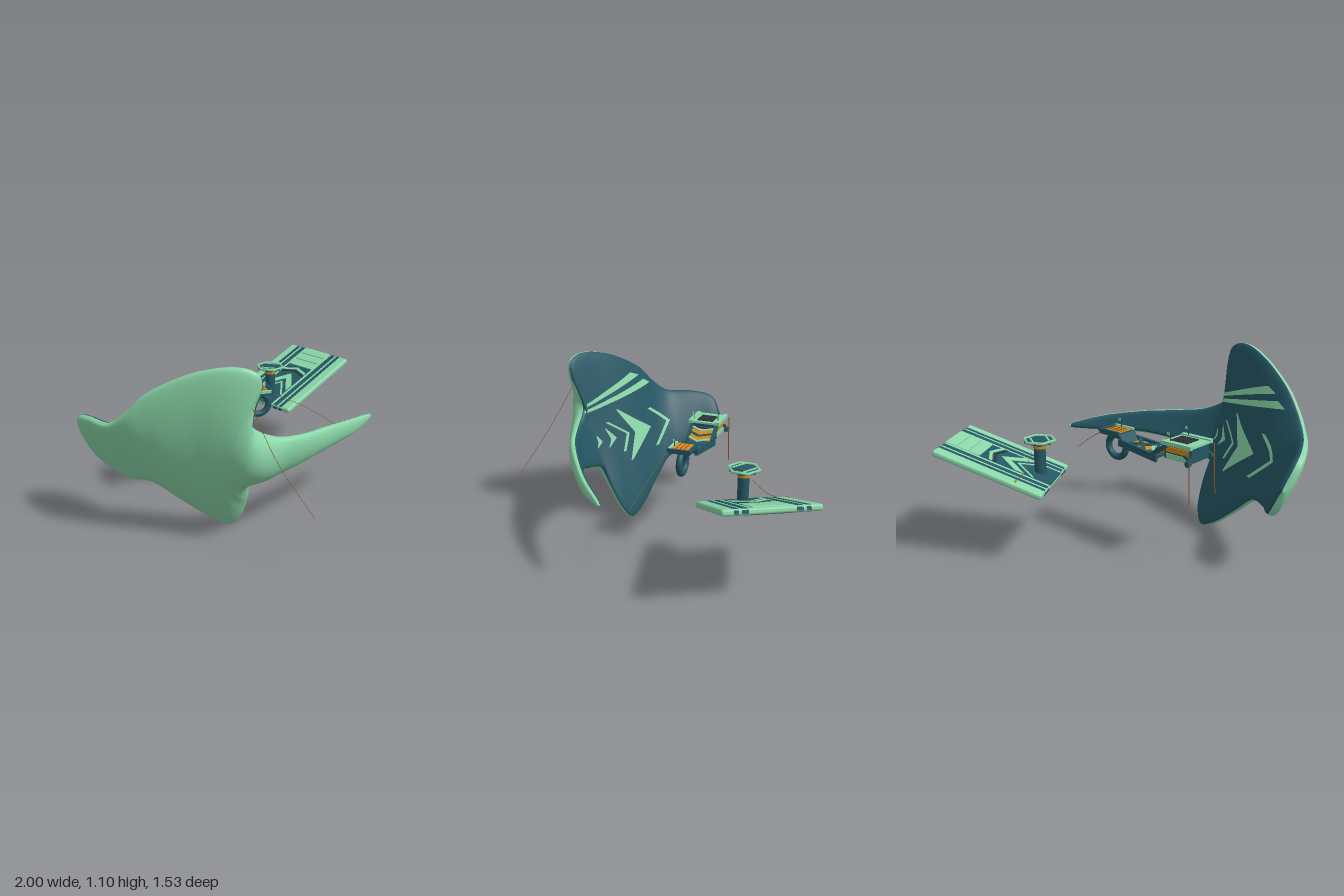
import * as THREE from 'three';
import { RoundedBoxGeometry } from 'three/addons/geometries/RoundedBoxGeometry.js';

const mat = (color) => new THREE.MeshStandardMaterial({ color, side: THREE.DoubleSide });
const dark = mat(0x245663), light = mat(0x8ad6a8), orange = mat(0xd98a1a);
const brown = mat(0x8a5a2a), black = mat(0x2c3338), purple = mat(0x4a3f7a);
const V = (p) => new THREE.Vector3(...p);
const { smoothstep } = THREE.MathUtils;

function add(parent, name, geo, material, pos = [0, 0, 0], rot = [0, 0, 0]) {
  const m = new THREE.Mesh(geo, material);
  m.name = name;
  m.position.set(...pos);
  m.rotation.set(...rot);
  parent.add(m);
  return m;
}
const box = (parent, name, size, pos, material, rot) =>
  add(parent, name, new THREE.BoxGeometry(...size), material, pos, rot);
const rod = (parent, name, pts, r, material) =>
  add(parent, name, new THREE.TubeGeometry(new THREE.CatmullRomCurve3(pts.map(V)), 24, r, 6), material);
// flat arrow stroke pointing along +x, lying on the xz plane
function chevron(parent, name, tip, back, half, thick, y, material) {
  const s = new THREE.Shape([[tip, 0], [back, half], [back - thick, half], [tip - thick, 0],
    [back - thick, -half], [back, -half]].map((p) => new THREE.Vector2(...p)));
  const g = new THREE.ExtrudeGeometry(s, { depth: 0.006, bevelEnabled: false });
  return add(parent, name, g, material, [0, y, 0], [-Math.PI / 2, 0, 0]);
}

// Four-lobed curved ray body: lofted between upper edge, ridge and lower edge
const upper = [[-0.88, 0.52, -0.69], [-0.957, 0.66, -0.635], [-0.985, 0.705, -0.49], [-0.985, 0.72, -0.3],
  [-0.95, 0.81, -0.18], [-0.88, 0.93, -0.07], [-0.75, 1.05, 0.13], [-0.63, 1.1, 0.31], [-0.54, 1.07, 0.41],
  [-0.515, 0.98, 0.415], [-0.52, 0.87, 0.375], [-0.515, 0.75, 0.345], [-0.38, 0.665, 0.39],
  [-0.2, 0.635, 0.42], [0.05, 0.615, 0.42], [0.3, 0.58, 0.395], [0.5, 0.535, 0.34], [0.522, 0.515, 0.33]];
const ridge = [[-0.88, 0.52, -0.69], [-0.885, 0.51, -0.64], [-0.89, 0.51, -0.5], [-0.875, 0.51, -0.34],
  [-0.83, 0.53, -0.22], [-0.75, 0.54, -0.115], [-0.645, 0.55, 0.02], [-0.585, 0.56, 0.125], [-0.545, 0.57, 0.195],
  [-0.522, 0.57, 0.244], [-0.495, 0.565, 0.295], [-0.445, 0.55, 0.335], [-0.35, 0.54, 0.375],
  [-0.2, 0.535, 0.41], [0.05, 0.535, 0.415], [0.3, 0.525, 0.39], [0.5, 0.517, 0.34], [0.522, 0.515, 0.33]];
const lower = [[-0.88, 0.52, -0.69], [-0.83, 0.38, -0.64], [-0.81, 0.325, -0.52], [-0.79, 0.305, -0.38],
  [-0.72, 0.3, -0.27], [-0.62, 0.19, -0.17], [-0.49, 0.06, -0.06], [-0.4, 0.005, 0.03], [-0.37, 0.08, 0.1],
  [-0.39, 0.22, 0.17], [-0.43, 0.35, 0.23], [-0.38, 0.385, 0.28], [-0.3, 0.41, 0.33],
  [-0.2, 0.44, 0.37], [0.05, 0.48, 0.39], [0.3, 0.485, 0.375], [0.5, 0.5, 0.335], [0.522, 0.515, 0.33]];

function createRay() {
  const g = new THREE.Group();
  g.name = 'rayBody';
  const [U, M, L] = [upper, ridge, lower].map((a) => new THREE.CatmullRomCurve3(a.map(V), false, 'catmullrom', 0.5));
  const section = (t, v) => U.getPoint(t).multiplyScalar(v * (v + 1) / 2)
    .addScaledVector(M.getPoint(t), 1 - v * v).addScaledVector(L.getPoint(t), v * (v - 1) / 2);
  const N = 160, K = 64, pos = [], top = [], belly = [];
  for (let i = 0; i <= N; i++) {
    const t = i / N, tc = Math.min(0.985, Math.max(0.015, t)), f = t * (upper.length - 1);
    const along = M.getTangent(tc);
    const h = 0.045 * Math.sqrt(Math.min(1, U.getPoint(t).distanceTo(L.getPoint(t)) / 0.35));
    // the belly swells out in the body between the lobes
    const swell = 0.08 * smoothstep(f, 3, 6) * (1 - smoothstep(f, 10, 13));
    for (let j = 0; j < K; j++) {
      const a = j / K * Math.PI * 2, v = Math.cos(a), s = Math.sin(a);
      const n = section(tc, v + 0.01).sub(section(tc, v - 0.01)).cross(along).normalize();
      const off = Math.sign(s) * h * Math.abs(s) ** 0.6 - (s < 0 ? swell * s * s : 0);
      const p = section(t, v).addScaledVector(n, off);
      pos.push(p.x, p.y, p.z);
      if (i === N) continue;
      const A = i * K + j, B = i * K + (j + 1) % K;
      (j >= 1 && j < K / 2 - 1 ? top : belly).push(A, A + K, B, B, A + K, B + K);
    }
  }
  const geo = new THREE.BufferGeometry();
  geo.setAttribute('position', new THREE.Float32BufferAttribute(pos, 3));
  geo.setIndex(top.concat(belly));
  geo.computeVertexNormals();
  const part = (name, index, m) => {
    const c = geo.clone();
    c.setIndex(index);
    return add(g, name, c, m);
  };
  part('belly', belly, light);
  const back = part('back', top, dark);

  // pale markings laid on the back: quads in (z, y), dropped onto the surface along x
  const ray = new THREE.Raycaster();
  const mark = (a, b, c, d) => {
    const nu = 14, nv = 3, p = [], idx = [];
    for (let i = 0; i <= nu; i++) for (let j = 0; j <= nv; j++) {
      const u = i / nu, w = j / nv;
      const f = (k) => (a[k] * (1 - w) + b[k] * w) * (1 - u) + (d[k] * (1 - w) + c[k] * w) * u;
      ray.set(new THREE.Vector3(2, f(1), f(0)), new THREE.Vector3(-1, 0, 0));
      const hit = ray.intersectObject(back)[0];
      p.push(hit ? hit.point.x + 0.007 : NaN, f(1), f(0));
    }
    const ok = (k) => !Number.isNaN(p[k * 3]);
    for (let i = 0; i < nu; i++) for (let j = 0; j < nv; j++) {
      const q = i * (nv + 1) + j, r = q + nv + 1;
      for (const tri of [[q, r, q + 1], [q + 1, r, r + 1]]) if (tri.every(ok)) idx.push(...tri);
    }
    const m = new THREE.BufferGeometry();
    m.setAttribute('position', new THREE.Float32BufferAttribute(p.map((x) => x || 0), 3));
    m.setIndex(idx);
    m.computeVertexNormals();
    add(g, 'backMarking', m, light);
  };
  mark([0.31, 0.785], [0.31, 0.765], [-0.075, 0.885], [-0.01, 0.915]);
  mark([0.325, 0.745], [0.33, 0.725], [-0.16, 0.815], [-0.11, 0.85]);
  // arrows: upper end, tip, lower end, stroke width at the tip and at the ends
  for (const [e, tip, f, w, we] of [
    [[0.1, 0.71], [-0.145, 0.54], [0.005, 0.37], 0.125, 0.012],
    [[0.17, 0.645], [0.02, 0.545], [0.05, 0.435], 0.022, 0.02],
    [[0.19, 0.61], [0.115, 0.535], [0.165, 0.485], 0.04, 0.006],
    [[0.25, 0.57], [0.215, 0.53], [0.245, 0.495], 0.03, 0.006],
    [[-0.15, 0.66], [-0.3, 0.545], [-0.2, 0.41], 0.03, 0.025]]) {
    for (const end of [e, f]) mark(end, [end[0] + we, end[1]], [tip[0] + w, tip[1]], tip);
  }
  // leading line and its fastenings
  rod(g, 'trailingLine', [[-0.565, 0.9, 0.39], [-0.54, 0.62, 0.555], [-0.47, 0.34, 0.76]], 0.0016, brown);
  for (const p of [[-0.565, 0.905, 0.39], [-0.575, 0.8, 0.35]])
    add(g, 'fastening', new THREE.SphereGeometry(0.011, 10, 8), orange, p);
  return g;
}

// Stepped carriage: tall rear box, low truss, small front deck with a ring below
function createCarriage() {
  const g = new THREE.Group();
  g.name = 'carriage';
  g.position.set(-0.15, 0, -0.35);
  g.rotation.y = -0.52;
  box(g, 'rearBox', [0.18, 0.085, 0.16], [-0.24, 0.642, 0], dark);
  box(g, 'rearLid', [0.2, 0.012, 0.15], [-0.24, 0.69, 0], light);
  for (const z of [-0.036, 0, 0.036]) box(g, 'roofSlat', [0.115, 0.008, 0.031], [-0.225, 0.697, z], black);
  for (const s of [-1, 1]) {
    box(g, 'rearRail', [0.2, 0.022, 0.026], [-0.24, 0.692, s * 0.09], light);
    box(g, 'sidePanel', [0.15, 0.03, 0.008], [-0.24, 0.655, s * 0.082], orange);
    box(g, 'sideSkirt', [0.15, 0.03, 0.008], [-0.24, 0.615, s * 0.082], light);
    box(g, 'sideBeam', [0.3, 0.04, 0.018], [0.05, 0.6, s * 0.074], dark, [0, s * 0.08, 0.1]);
    box(g, 'slopeBeam', [0.13, 0.025, 0.02], [-0.115, 0.64, s * 0.08], dark, [0, 0, -0.6]);
    box(g, 'crossBrace', [0.17, 0.014, 0.022], [0.08, 0.612, 0], dark, [0, s * 0.75, 0.1]);
    // rear pods with hanging poles and flag masts
    add(g, 'pod', new THREE.CylinderGeometry(0.017, 0.017, 0.022, 12), dark, [-0.325, 0.605, s * 0.1], [Math.PI / 2, 0, 0]);
    box(g, 'podArm', [0.05, 0.016, 0.016], [-0.315, 0.63, s * 0.09], dark, [0, 0, 0.5]);
    rod(g, 'hangingPole', [[-0.34, 0.68, s * 0.113], [-0.345, 0.5, s * 0.115], [-0.35, 0.385, s * 0.118]], 0.0035, brown);
    rod(g, 'mast', [[-0.19, 0.69, s * 0.08], [-0.19, 0.72, s * 0.08], [-0.19, 0.75, s * 0.08]], 0.003, dark);
    box(g, 'flag', [0.025, 0.016, 0.003], [-0.178, 0.74, s * 0.08], light);
  }
  box(g, 'slopePanel', [0.12, 0.012, 0.14], [-0.115, 0.63, 0], orange, [0, 0, -0.6]);
  box(g, 'seat', [0.035, 0.06, 0.1], [-0.155, 0.635, 0], purple);
  for (let i = 0; i < 3; i++)
    chevron(g, 'slopeChevron', 0.01 - i * 0.04, -0.05 - i * 0.04, 0.07, 0.024, 0.612 + i * 0.022, i === 1 ? dark : light);
  box(g, 'trussFloor', [0.25, 0.015, 0.14], [0.05, 0.592, 0], dark, [0, 0, 0.1]);
  box(g, 'trussPanel', [0.13, 0.006, 0.12], [0.08, 0.604, 0], orange, [0, 0, 0.1]);
  box(g, 'riser', [0.06, 0.02, 0.13], [0.185, 0.63, 0], dark, [0, 0, 0.9]);
  box(g, 'frontDeck', [0.15, 0.018, 0.14], [0.27, 0.652, 0], dark);
  box(g, 'frontPanel', [0.11, 0.008, 0.1], [0.265, 0.664, 0], orange);
  for (const z of [-0.025, 0, 0.025]) box(g, 'deckGroove', [0.1, 0.004, 0.005], [0.265, 0.669, z], brown);
  for (const s of [-1, 1]) box(g, 'deckRail', [0.14, 0.016, 0.016], [0.27, 0.665, s * 0.064], s > 0 ? light : dark);
  box(g, 'bow', [0.014, 0.016, 0.15], [0.342, 0.664, 0], dark);
  add(g, 'ring', new THREE.TorusGeometry(0.066, 0.02, 12, 36), dark, [0.27, 0.565, 0]);
  rod(g, 'frontMast', [[0.28, 0.66, 0.05], [0.28, 0.69, 0.05], [0.28, 0.72, 0.05]], 0.003, dark);
  box(g, 'frontFlag', [0.025, 0.016, 0.003], [0.292, 0.71, 0.05], light);
  return g;
}

// Tilted raft with wrapped stripes and an upright turret
function createRaft() {
  const g = new THREE.Group();
  g.name = 'raft';
  const slab = new THREE.Group();
  slab.name = 'slab';
  slab.position.set(0.687, 0.528, -0.5);
  slab.rotation.z = 0.346;
  g.add(slab);
  add(slab, 'board', new RoundedBoxGeometry(0.648, 0.036, 0.53, 3, 0.014), light);
  for (const s of [-1, 1]) {
    box(slab, 'wideStripe', [0.632, 0.0372, 0.034], [0, 0, s * 0.142], dark);
    box(slab, 'narrowStripe', [0.632, 0.0372, 0.025], [0, 0, s * 0.188], dark);
    for (const e of [-1, 1]) for (const [w, z] of [[0.034, 0.142], [0.025, 0.188]])
      box(slab, 'stripeEnd', [0.004, 0.02, w], [e * 0.323, 0, s * z], dark);
  }
  box(slab, 'underPanel', [0.63, 0.01, 0.225], [0, -0.0145, 0], mat(0x1f4650));
  box(slab, 'topPanel', [0.44, 0.008, 0.21], [-0.1, 0.0155, 0], dark);
  for (let i = 0; i < 3; i++)
    add(slab, 'slat', new RoundedBoxGeometry(0.066, 0.014, 0.21, 2, 0.005), light, [0.143 + i * 0.071, 0.017, 0]);
  chevron(slab, 'frontChevron', 0.09, 0.055, 0.1, 0.02, 0.0165, light);
  chevron(slab, 'innerChevron', 0.058, 0.025, 0.1, 0.014, 0.0165, black);
  chevron(slab, 'arrow', 0.015, -0.1, 0.1, 0.06, 0.0165, light);
  chevron(slab, 'rearChevron', -0.08, -0.2, 0.1, 0.02, 0.0165, light);
  // turret
  const c = [0.47, 0, -0.49];
  const cyl = (name, r, h, y, m, n = 24) =>
    add(g, name, new THREE.CylinderGeometry(r, r, h, n), m, [c[0], y, c[2]]);
  cyl('column', 0.033, 0.2, 0.54, dark);
  cyl('columnBand', 0.037, 0.014, 0.622, orange);
  cyl('columnCollar', 0.04, 0.012, 0.64, dark);
  cyl('turretPlate', 0.086, 0.014, 0.655, dark, 6);
  add(g, 'plateRim', new THREE.TorusGeometry(0.09, 0.009, 6, 6), light, [c[0], 0.661, c[2]], [Math.PI / 2, 0, 0]);
  box(g, 'plateInlay', [0.07, 0.004, 0.09], [c[0], 0.664, c[2]], dark, [0, 0.5, 0]);
  for (const s of [-1, 1]) box(g, 'plateBar', [0.01, 0.006, 0.1],
    [c[0] + s * 0.04, 0.665, c[2] - s * 0.022], light, [0, 0.5, 0]);
  rod(g, 'raftLine', [[0.505, 0.6, -0.53], [0.52, 0.51, -0.64], [0.53, 0.5, -0.74]], 0.0016, brown);
  add(g, 'raftPin', new THREE.SphereGeometry(0.007, 8, 6), orange, [0.53, 0.5, -0.74]);
  return g;
}

export function createModel() {
  const model = new THREE.Group();
  model.name = 'model';
  model.add(createRay(), createCarriage(), createRaft());
  rod(model, 'towLine', [[0.12, 0.65, -0.11], [0.28, 0.55, 0.02], [0.42, 0.43, 0.15]], 0.0016, brown);
  return model;
}
